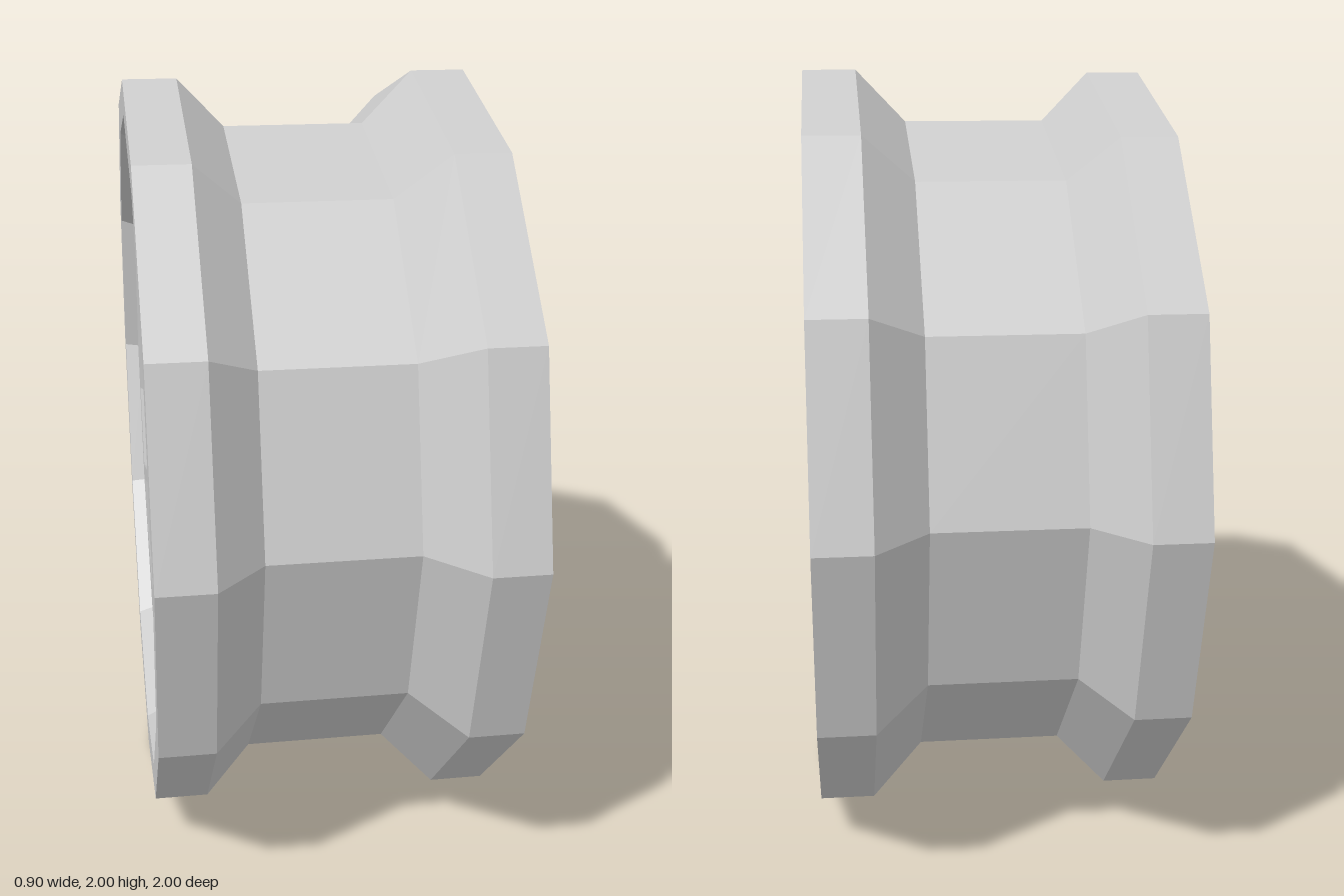
import * as THREE from 'three';

const grey = new THREE.MeshStandardMaterial({ color: 0xcccccc, flatShading: true });

// Turned part about the x axis; profile points are [radius, x].
function turned(name, profile, sides) {
  const pts = profile.map(([r, x]) => new THREE.Vector2(r, x));
  const geo = new THREE.LatheGeometry(pts, sides).rotateZ(-Math.PI / 2);
  const mesh = new THREE.Mesh(geo, grey);
  mesh.name = name;
  return mesh;
}

// Window outlines: [distance from the axle, half width].
const forkWindow = [[0.42, 0.02], [0.57, 0.045], [0.64, 0.1], [0.715, 0.11]];
const gapWindow = [[0.2, 0.025], [0.26, 0.045], [0.5, 0.11], [0.6, 0.12], [0.785, 0.13]];

function windowPath(outline, angle) {
  const c = Math.cos(angle), s = Math.sin(angle);
  const at = (r, t) => new THREE.Vector2(r * c - t * s, r * s + t * c);
  const right = outline.map(([r, t]) => at(r, -t));
  const left = outline.map(([r, t]) => at(r, t)).reverse();
  return new THREE.Path([...right, ...left]);
}

// Plate with five forked spokes; the windows flare towards the inside.
function spokePlate() {
  const depth = 0.19, step = Math.PI / 5;
  const rim = [];
  for (let i = 0; i < 12; i++) {
    const a = i * Math.PI / 6;
    rim.push(new THREE.Vector2(0.87 * Math.cos(a), 0.87 * Math.sin(a)));
  }
  const shape = new THREE.Shape(rim);
  for (let i = 0; i < 10; i++) {
    shape.holes.push(windowPath(i % 2 ? gapWindow : forkWindow, Math.PI / 2 + i * step));
  }
  const geo = new THREE.ExtrudeGeometry(shape, { depth, bevelEnabled: false });
  const p = geo.attributes.position;
  for (let i = 0; i < p.count; i++) {
    let x = p.getX(i), y = p.getY(i), z = p.getZ(i);
    const dist = Math.hypot(x, y);
    if (z > depth / 2 && dist < 0.83) {
      const k = Math.round((Math.atan2(y, x) - Math.PI / 2) / step);
      const a = Math.PI / 2 + k * step, c = Math.cos(a), s = Math.sin(a);
      let r = x * c + y * s;
      const t = (y * c - x * s) * 1.4;
      if (k % 2 === 0 && r > 0.68) r += 0.065;
      x = r * c - t * s;
      y = r * s + t * c;
    }
    // slight dish towards the axle
    if (z < depth / 2) z += 0.05 * Math.max(0, 1 - dist / 0.8);
    p.setXYZ(i, x, y, z);
  }
  geo.rotateY(Math.PI / 2).translate(-0.41, 0, 0);
  geo.computeVertexNormals();
  const mesh = new THREE.Mesh(geo, grey);
  mesh.name = 'spokePlate';
  return mesh;
}

export function createModel() {
  const wheel = new THREE.Group();
  wheel.name = 'wheelRim';

  // Barrel with two flared lips
  wheel.add(turned('barrel', [
    [0.8, -0.39], [0.87, -0.39], [0.9, -0.45], [0.99, -0.45], [0.99, -0.31],
    [0.865, -0.19], [0.865, 0.18], [1, 0.31], [1, 0.45], [0.8, 0.4], [0.8, -0.39],
  ], 12));

  wheel.add(spokePlate());

  // Brake disc, hub and axle
  wheel.add(turned('brakeDisc', [[0, -0.14], [0.6, -0.14], [0.6, -0.06], [0, -0.06]], 12));
  wheel.add(turned('hub', [[0.33, -0.1], [0.33, 0.17], [0.26, 0.31], [0, 0.31]], 8));
  wheel.add(turned('axle', [[0.17, -0.3], [0.17, -0.1]], 8));

  // Small cap in the middle of the spokes
  wheel.add(turned('centreCap', [[0, -0.4], [0.1, -0.4], [0.12, -0.34], [0.12, -0.3]], 6));

  wheel.position.y = 1;
  const model = new THREE.Group();
  model.name = 'model';
  model.add(wheel);
  return model;
}
